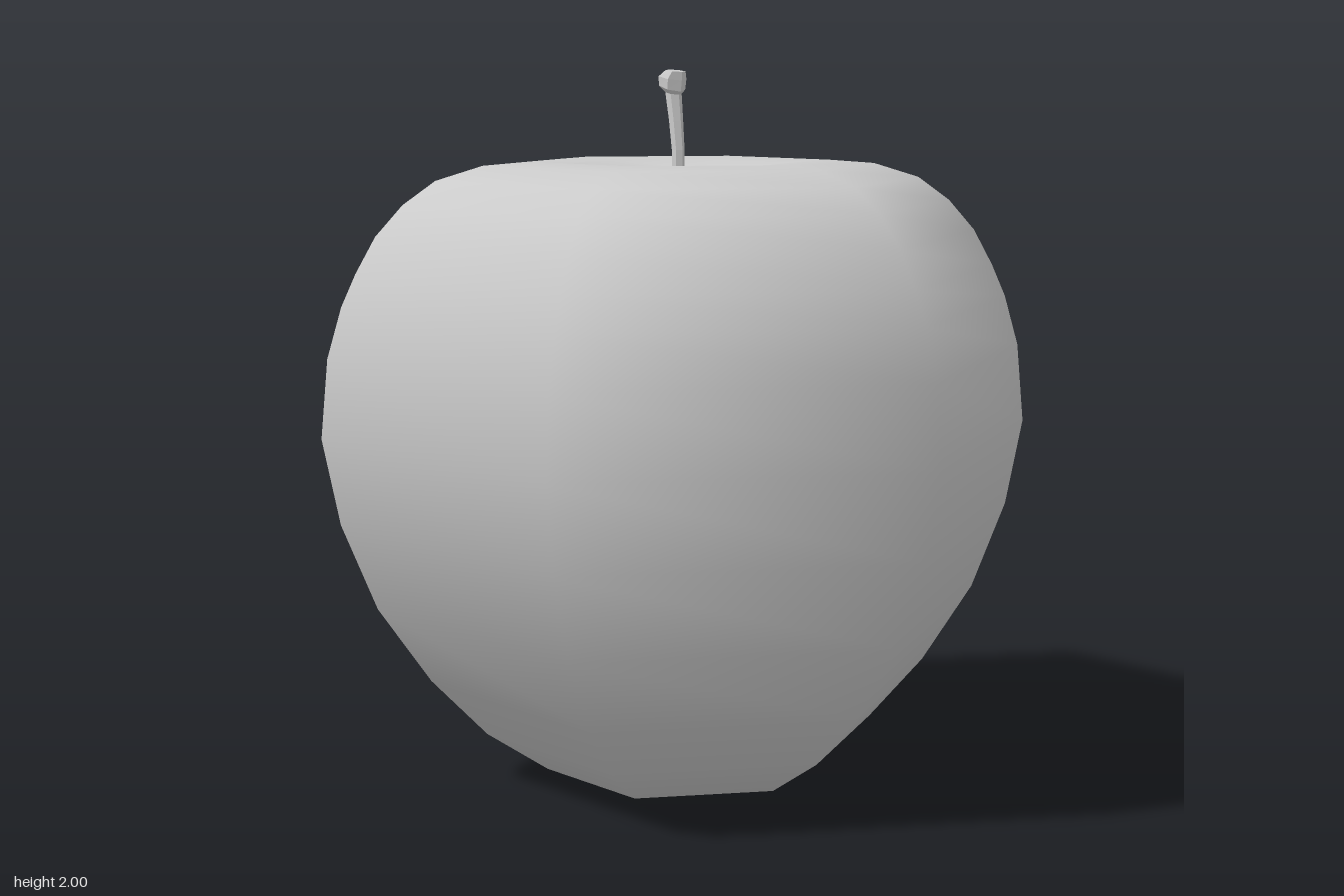
import * as THREE from 'three';

const SIDES = 6;

// Fruit profile [radius, height], from the base dimple round to the stem dimple
const PROFILE = [
  [0, 0.04], [0.1, 0.015], [0.2, 0], [0.385, 0.04], [0.555, 0.15], [0.71, 0.31],
  [0.855, 0.52], [0.952, 0.76], [1, 1], [0.98, 1.22], [0.94, 1.36], [0.9, 1.45],
  [0.845, 1.55], [0.77, 1.635], [0.68, 1.7], [0.55, 1.74], [0.42, 1.75],
  [0.3, 1.742], [0.18, 1.722], [0.08, 1.69], [0, 1.66],
];

// Stem rings [centre x, centre y, radius, slope towards x]
const STEM = [
  [-0.013, 1.62, 0.018, 0], [-0.013, 1.78, 0.018, 0], [-0.022, 1.86, 0.02, -0.1],
  [-0.033, 1.935, 0.023, -0.2], [-0.039, 1.95, 0.037, -0.3],
  [-0.037, 1.977, 0.039, -0.2], [-0.024, 1.996, 0.028, -0.12],
];

// Skin a stack of tilted rings and close both ends
function ringStack(rings) {
  const pos = [], index = [];
  for (const [cx, cy, r, slope] of rings) {
    for (let i = 0; i < SIDES; i++) {
      const a = (i / SIDES) * Math.PI * 2;
      const dx = r * Math.cos(a);
      pos.push(cx + dx, cy + dx * slope, -r * Math.sin(a));
    }
  }
  const last = (rings.length - 1) * SIDES;
  for (let k = 0; k < last; k += SIDES) {
    for (let i = 0; i < SIDES; i++) {
      const j = (i + 1) % SIDES;
      index.push(k + i, k + j, k + SIDES + j, k + i, k + SIDES + j, k + SIDES + i);
    }
  }
  for (let i = 1; i < SIDES - 1; i++) {
    index.push(0, i + 1, i, last, last + i, last + i + 1);
  }
  const geo = new THREE.BufferGeometry();
  geo.setAttribute('position', new THREE.Float32BufferAttribute(pos, 3));
  geo.setIndex(index);
  geo.computeVertexNormals();
  return geo;
}

export function createModel() {
  const model = new THREE.Group();
  model.name = 'apple';

  // Six-sided fruit body with smooth shading, corners on the x axis
  const points = PROFILE.map(([r, y]) => new THREE.Vector2(r, y));
  const fruit = new THREE.Mesh(
    new THREE.LatheGeometry(points, SIDES, Math.PI / 2),
    new THREE.MeshStandardMaterial({ color: 0xcccccc })
  );
  fruit.name = 'fruit';

  // Leaning stem with a flared, tilted tip
  const stem = new THREE.Mesh(
    ringStack(STEM),
    new THREE.MeshStandardMaterial({ color: 0xcccccc, flatShading: true })
  );
  stem.name = 'stem';

  model.add(fruit, stem);
  return model;
}
